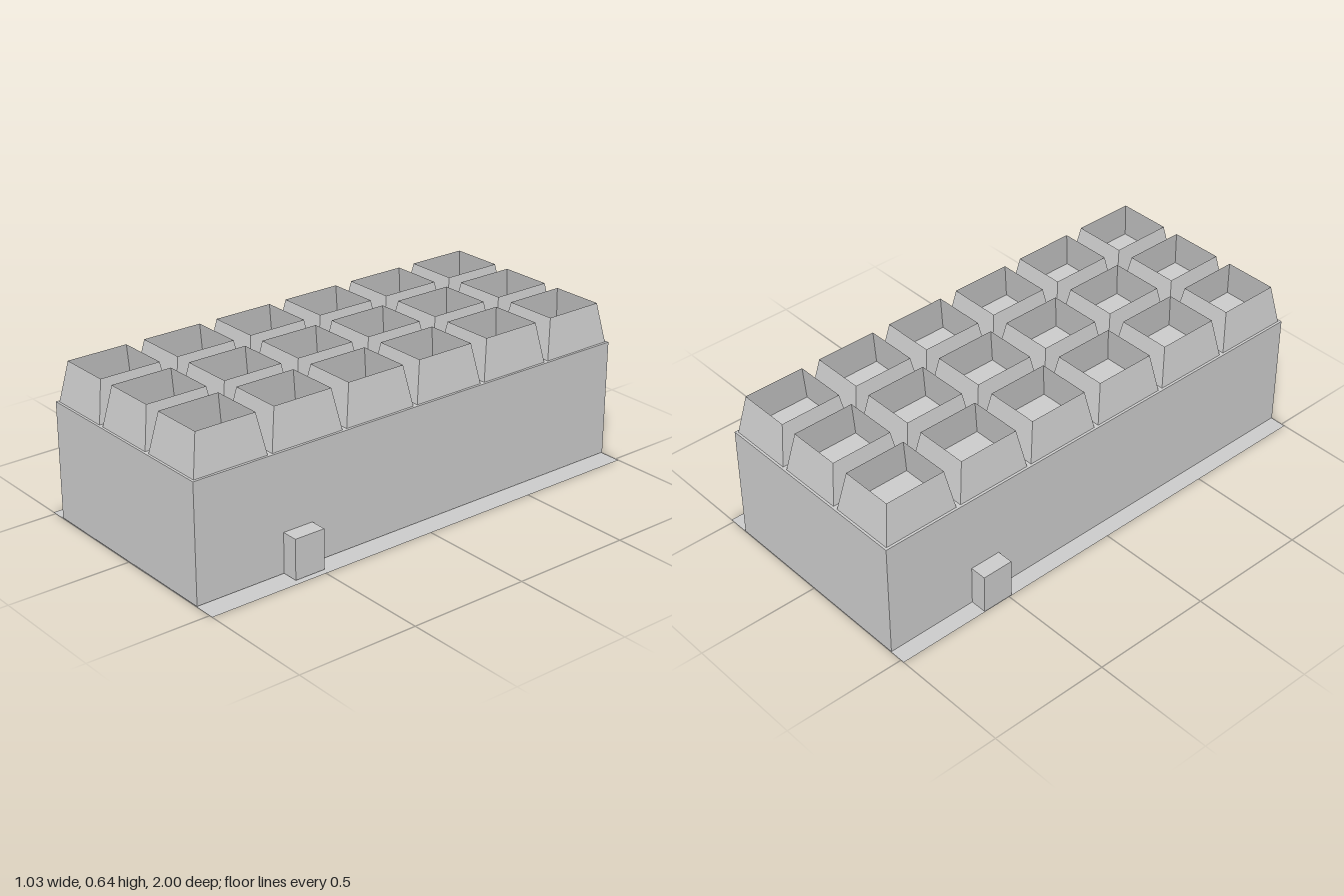
import * as THREE from 'three';

const material = new THREE.MeshStandardMaterial({ color: 0xcccccc, flatShading: true, side: THREE.DoubleSide });

function add(parent, name, geometry, x, y, z) {
  const mesh = new THREE.Mesh(geometry, material);
  mesh.name = name;
  mesh.position.set(x, y, z);
  parent.add(mesh);
  return mesh;
}

// Box placed by its min and max corners
function box(parent, name, [x0, y0, z0], [x1, y1, z1]) {
  return add(parent, name, new THREE.BoxGeometry(x1 - x0, y1 - y0, z1 - z0),
    (x0 + x1) / 2, (y0 + y1) / 2, (z0 + z1) / 2);
}

export function createModel() {
  const model = new THREE.Group();
  model.name = 'building';

  // Flat ground sheet
  add(model, 'groundSheet', new THREE.PlaneGeometry(1.03, 2).rotateX(-Math.PI / 2), 0, 0, 0);

  // Main hall
  const left = -0.447, right = 0.425, roofY = 0.482;
  box(model, 'hall', [left, 0.003, -1], [right, roofY, 1]);

  // Small entrance blocks on opposite sides
  box(model, 'rightPorch', [-0.515, 0.003, -0.62], [left, 0.167, -0.49]);
  box(model, 'leftPorch', [right, 0.003, 0.49], [0.493, 0.167, 0.62]);

  // Open, tapering roof shafts in a 3 by 6 grid
  const columns = 3, rows = 6, height = 0.163;
  const cellX = (right - left) / columns, cellZ = 2 / rows;
  const shaft = new THREE.CylinderGeometry(0.808 * Math.SQRT2, Math.SQRT2, height, 4, 1, true)
    .rotateY(Math.PI / 4)
    .scale(0.135, 1, 0.157);
  const shafts = new THREE.Group();
  shafts.name = 'roofShafts';
  model.add(shafts);
  for (let i = 0; i < columns; i++) {
    for (let j = 0; j < rows; j++) {
      add(shafts, 'roofShaft', shaft, left + (i + 0.5) * cellX, roofY + height / 2, -1 + (j + 0.5) * cellZ);
    }
  }
  return model;
}
